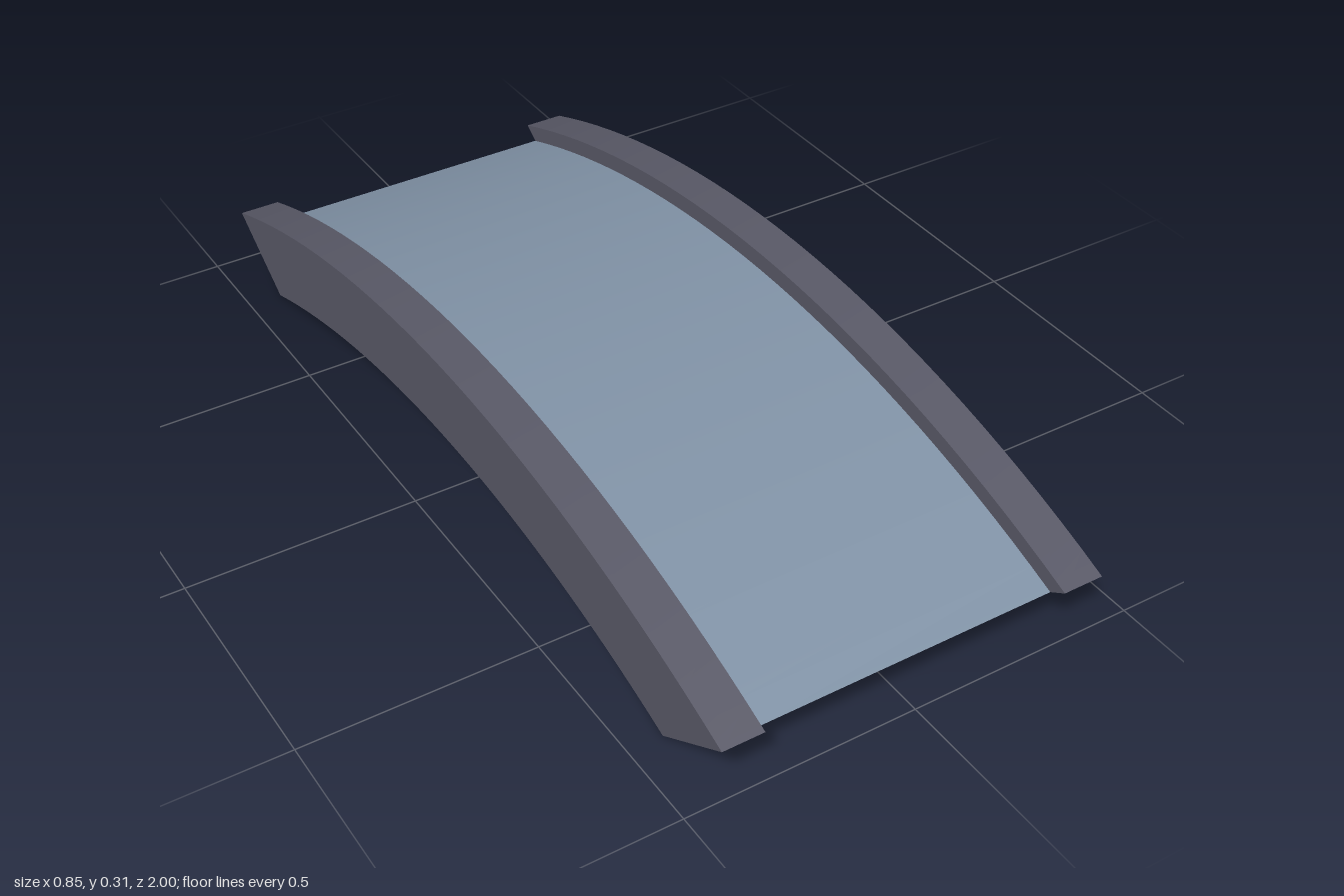
import * as THREE from 'three';

const SEGMENTS = 32;

// Corners of the U-shaped section, counter-clockwise seen from the front:
// x, half length of the arc, height at its ends, height at its crown
const CORNERS = [
  [-0.425, 0.815, 0, 0.133], [0.425, 0.815, 0, 0.133],
  [0.425, 1, 0.122, 0.307], [0.335, 1, 0.122, 0.307],
  [0.335, 0.963, 0.097, 0.268], [-0.335, 0.963, 0.097, 0.268],
  [-0.335, 1, 0.122, 0.307], [-0.425, 1, 0.122, 0.307],
];

// Point on a corner's circular arc, t from -1 (back) to 1 (front)
function arcPoint([x, half, low, crown], t) {
  const sag = crown - low;
  const radius = (half * half + sag * sag) / (2 * sag);
  const angle = t * Math.asin(half / radius);
  return [x, crown - radius * (1 - Math.cos(angle)), radius * Math.sin(angle)];
}

function makeMesh(name, points, index, material) {
  const geometry = new THREE.BufferGeometry();
  geometry.setAttribute('position', new THREE.Float32BufferAttribute(points.flat(), 3));
  geometry.setIndex(index);
  geometry.computeVertexNormals();
  const mesh = new THREE.Mesh(geometry, material);
  mesh.name = name;
  return mesh;
}

// Curved strip between corner i and the next one
function strip(name, i, material) {
  const points = [], index = [];
  for (let s = 0; s <= SEGMENTS; s++) {
    const t = (2 * s) / SEGMENTS - 1;
    points.push(arcPoint(CORNERS[i], t), arcPoint(CORNERS[(i + 1) % 8], t));
    const a = 2 * s;
    if (s < SEGMENTS) index.push(a, a + 1, a + 3, a, a + 3, a + 2);
  }
  return makeMesh(name, points, index, material);
}

// Slanted end face made of triangles between the corners
function cap(name, t, triangles, material) {
  const index = triangles.flatMap(([a, b, c]) => (t > 0 ? [a, b, c] : [a, c, b]));
  return makeMesh(name, CORNERS.map((c) => arcPoint(c, t)), index, material);
}

export function createModel() {
  const stone = new THREE.MeshStandardMaterial({ color: 0x5a5a68 });
  stone.name = 'dark grey';
  const slate = new THREE.MeshStandardMaterial({ color: 0x8294a8 });
  slate.name = 'slate blue';

  const model = new THREE.Group();
  model.name = 'archedBridge';

  // Underside, kerbs and deck
  const names = ['underside', 'leftOuterSide', 'leftKerbTop', 'leftKerbInside',
    'deck', 'rightKerbInside', 'rightKerbTop', 'rightOuterSide'];
  names.forEach((name, i) => model.add(strip(name, i, name === 'deck' ? slate : stone)));

  // Ends, with a slate patch below the deck at the back
  const kerbEnds = [[1, 2, 3], [1, 3, 4], [7, 0, 5], [7, 5, 6]];
  model.add(cap('frontEnd', 1, [...kerbEnds, [0, 1, 4], [0, 4, 5]], stone));
  model.add(cap('backEnd', -1, [...kerbEnds, [0, 1, 5]], stone));
  model.add(cap('backEndPatch', -1, [[1, 4, 5]], slate));
  return model;
}
